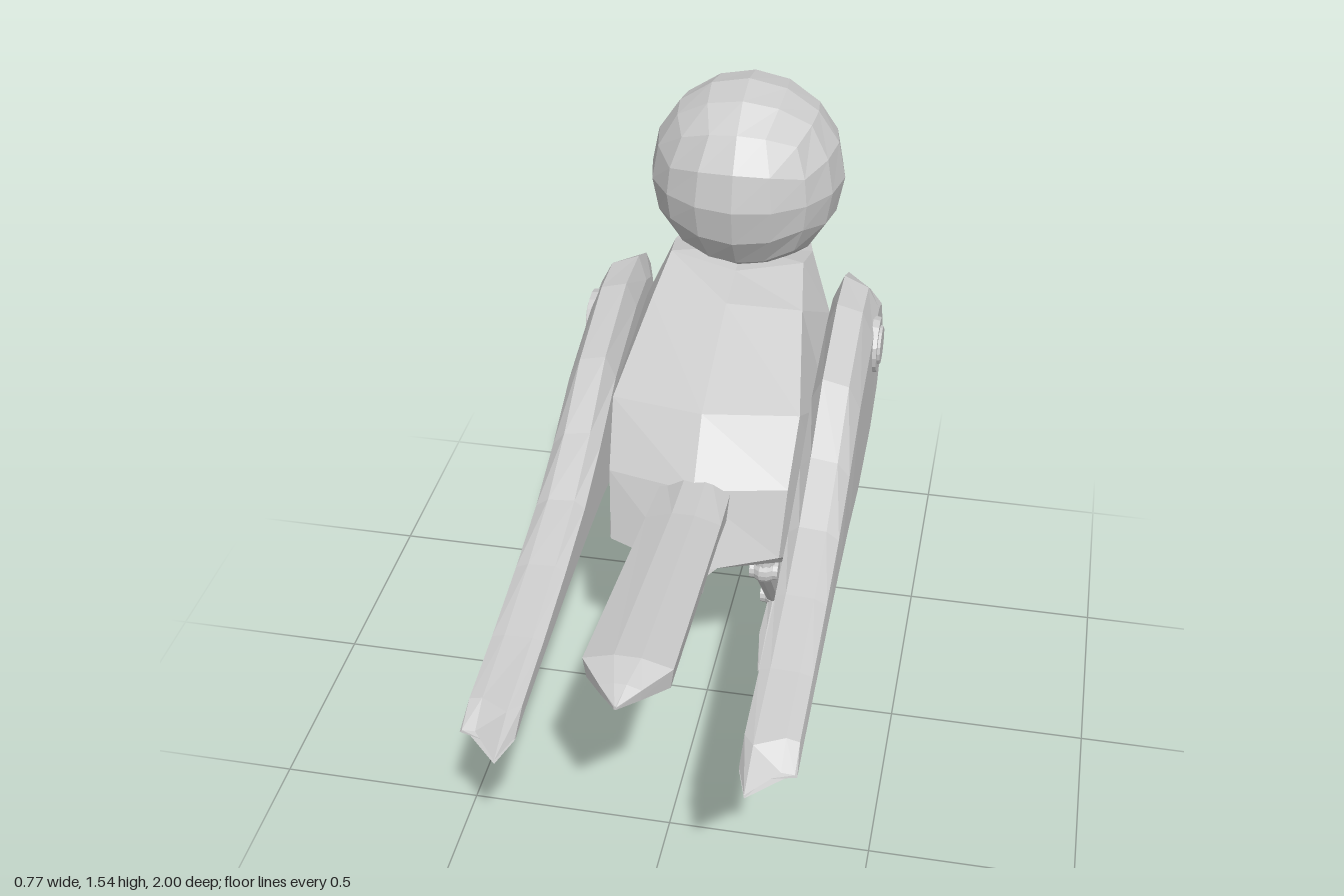
import * as THREE from 'three';

const material = new THREE.MeshStandardMaterial({ color: 0xcccccc, flatShading: true });
const V = (x, y, z) => new THREE.Vector3(x, y, z);

function add(parent, name, geometry) {
  const mesh = new THREE.Mesh(geometry, material);
  mesh.name = name;
  parent.add(mesh);
  return mesh;
}

// Skin a list of equal-length rings and close both ends; faces always point outwards
function loft(rings) {
  const n = rings[0].length, tris = [];
  for (let i = 0; i < rings.length - 1; i++) {
    for (let j = 0; j < n; j++) {
      const k = (j + 1) % n, a = rings[i], b = rings[i + 1];
      tris.push([a[j], a[k], b[k]], [a[j], b[k], b[j]]);
    }
  }
  const cap = (ring, flip) => {
    const c = ring.reduce((s, p) => s.add(p), V(0, 0, 0)).divideScalar(n);
    ring.forEach((p, j) => {
      const q = ring[(j + 1) % n];
      tris.push(flip ? [c, q, p] : [c, p, q]);
    });
  };
  cap(rings[0], true);
  cap(rings[rings.length - 1], false);
  const volume = tris.reduce((s, [a, b, c]) => s + a.dot(b.clone().cross(c)), 0);
  const points = tris.flatMap(([a, b, c]) => (volume < 0 ? [a, c, b] : [a, b, c]));
  const g = new THREE.BufferGeometry().setFromPoints(points);
  g.computeVertexNormals();
  return g;
}

// Tapered rod between two points
function rod(parent, name, a, b, ra, rb, sides = 10) {
  const mesh = add(parent, name, new THREE.CylinderGeometry(rb, ra, a.distanceTo(b), sides));
  mesh.position.copy(a).lerp(b, 0.5);
  mesh.quaternion.setFromUnitVectors(V(0, 1, 0), b.clone().sub(a).normalize());
}

// Half rings from back centre to breast centre, neck to rump, mirrored in x
function body(group) {
  const halves = [
    [[0, 1.09, -0.38], [0.17, 1.12, -0.4], [0.18, 1.1, -0.5], [0.16, 1.09, -0.59], [0, 1.07, -0.61]],
    [[0, 1.07, -0.25], [0.19, 1.065, -0.26], [0.24, 0.97, -0.42], [0.2, 0.87, -0.61], [0, 0.87, -0.65]],
    [[0, 0.95, 0.07], [0.23, 0.94, 0.02], [0.265, 0.8, -0.25], [0.215, 0.6, -0.51], [0, 0.59, -0.58]],
    [[0, 0.8, 0.18], [0.22, 0.79, 0.12], [0.28, 0.62, -0.14], [0.19, 0.43, -0.28], [0, 0.37, -0.315]],
    [[0, 0.605, 0.25], [0.21, 0.62, 0.17], [0.24, 0.55, 0.06], [0.23, 0.475, -0.01], [0, 0.42, 0]],
  ];
  const rings = halves.map((h) => [
    ...h.map((p) => V(...p)),
    ...h.slice(1, 4).reverse().map(([x, y, z]) => V(-x, y, z)),
  ]);
  add(group, 'body', loft(rings));
}

// Cube sphere head with round eyes and a two-part beak
function head(group) {
  const centre = V(0, 1.29, -0.555), radius = 0.249;
  const ball = new THREE.BoxGeometry(2, 2, 2, 4, 4, 4), pos = ball.attributes.position;
  for (let i = 0; i < pos.count; i++) {
    const p = V(0, 0, 0).fromBufferAttribute(pos, i);
    p.set(...p.toArray().map((c) => Math.tan(c * Math.PI / 4))).setLength(radius);
    pos.setXYZ(i, p.x, p.y, p.z);
  }
  ball.computeVertexNormals();
  add(group, 'head', ball).position.copy(centre);

  for (const s of [1, -1]) {
    const dir = V(s * 0.09, 0.09, -0.21).normalize();
    const eye = new THREE.Group();
    eye.name = s > 0 ? 'leftEye' : 'rightEye';
    eye.position.copy(centre).addScaledVector(dir, radius - 0.01);
    eye.quaternion.setFromUnitVectors(V(0, 0, 1), dir);
    add(eye, 'eyeRim', new THREE.TorusGeometry(0.043, 0.007, 6, 16));
    add(eye, 'eyeball', new THREE.SphereGeometry(0.04, 16, 8)).scale.z = 0.35;
    group.add(eye);
  }

  // stations: z, top, bottom, half width
  const beak = (name, stations) => add(group, name, loft(stations.map(([z, t, b, w]) => [
    V(-w, b, z), V(-w, (t + b) / 2, z), V(-w * 0.7, t - (t - b) * 0.1, z), V(0, t, z),
    V(w * 0.7, t - (t - b) * 0.1, z), V(w, (t + b) / 2, z), V(w, b, z),
  ])));
  beak('upperBeak', [[-0.74, 1.285, 1.215, 0.032], [-0.83, 1.287, 1.218, 0.037],
    [-0.91, 1.283, 1.222, 0.034], [-0.96, 1.264, 1.226, 0.02], [-1, 1.24, 1.232, 0.004]]);
  beak('lowerBeak', [[-0.74, 1.19, 1.213, 0.028], [-0.83, 1.19, 1.215, 0.031],
    [-0.92, 1.203, 1.22, 0.024], [-0.975, 1.222, 1.229, 0.005]]);
}

// Tall ridge at x 0.27 with an outer and an inner bevel; stations: z, bottom, top
function wing(group, s) {
  const stations = [
    [-0.6, 0.85, 0.96], [-0.55, 0.78, 1.02], [-0.46, 0.69, 1.06], [-0.315, 0.63, 1.06],
    [-0.075, 0.61, 0.99], [0.1, 0.65, 0.88], [0.27, 0.665, 0.8], [0.46, 0.665, 0.75],
    [0.67, 0.655, 0.71], [0.89, 0.64, 0.685], [1, 0.635, 0.645],
  ];
  const rings = stations.map(([z, b, t]) => {
    const h = t - b;
    const inset = z < -0.4 ? (-0.4 - z) * 0.4 : z > 0.8 ? (0.8 - z) * 0.4 : 0;
    const zo = z + inset;
    return [
      V(s * 0.27, b + h * 0.06, z), V(s * 0.245, b + h * 0.18, zo),
      V(s * 0.245, t - h * 0.15, zo), V(s * 0.27, t, z), V(s * 0.335, t - h * 0.04, zo),
      V(s * 0.365, t - h * 0.2, zo), V(s * 0.37, b + h * 0.16, zo), V(s * 0.35, b, zo),
    ];
  });
  const side = s > 0 ? 'left' : 'right';
  add(group, side + 'Wing', loft(rings));
  const y = 0.92, z = -0.37;
  rod(group, side + 'ShoulderRim', V(s * 0.35, y, z), V(s * 0.376, y, z), 0.075, 0.071, 16);
  rod(group, side + 'ShoulderCap', V(s * 0.36, y, z), V(s * 0.383, y, z), 0.058, 0.048, 16);
}

// Long tail feather; stations: z, centre top, centre bottom, half width
function tail(group) {
  const stations = [[0.1, 0.815, 0.69, 0.085], [0.3, 0.82, 0.74, 0.09],
    [0.88, 0.88, 0.8, 0.098], [0.95, 0.865, 0.822, 0.045], [1, 0.848, 0.838, 0.003]];
  add(group, 'tail', loft(stations.map(([z, t, b, w]) => {
    const h = t - b;
    return [V(-w * 0.3, t, z), V(w * 0.3, t, z), V(w, t - h * 0.25, z), V(w * 0.93, b + h * 0.1, z),
      V(0, b, z), V(-w * 0.93, b + h * 0.1, z), V(-w, t - h * 0.25, z)];
  })));
}

// Jointed leg with three front toes and one back toe
function leg(group, s) {
  const g = new THREE.Group();
  g.name = s > 0 ? 'leftLeg' : 'rightLeg';
  group.add(g);
  const x = s * 0.122;
  const hip = V(x, 0.44, -0.19), knee = V(x, 0.3, -0.178), ankle = V(x, 0.055, -0.375);
  rod(g, 'hipCollar', V(x, 0.405, -0.187), hip, 0.034, 0.047, 12);
  rod(g, 'thigh', knee, hip, 0.029, 0.03);
  rod(g, 'shin', knee, ankle, 0.032, 0.027);
  for (const [name, p, r] of [['knee', knee, 0.037], ['ankle', ankle, 0.036]]) {
    add(g, name, new THREE.SphereGeometry(r, 10, 8)).position.copy(p);
    rod(g, name + 'Pin', V(x - 0.038, p.y, p.z), V(x + 0.038, p.y, p.z), 0.026, 0.026, 12);
  }
  for (const [dx, dz] of [[-0.07, -0.25], [0, -0.275], [0.07, -0.25], [0, 0.275]]) {
    const len = Math.hypot(dx, dz);
    const at = (t, y, w, h) => {
      const px = (-dz / len) * w, pz = (dx / len) * w;
      const cx = x + dx * t, cz = ankle.z + dz * t;
      return [V(cx + px, y, cz + pz), V(cx, y + h, cz), V(cx - px, y, cz - pz), V(cx, y - h, cz)];
    };
    add(g, dz > 0 ? 'backToe' : 'frontToe', loft([
      at(0.05, 0.05, 0.015, 0.014), at(0.5, 0.022, 0.02, 0.012), at(1, 0.006, 0.002, 0.003),
    ]));
  }
}

export function createModel() {
  const group = new THREE.Group();
  group.name = 'bird';
  body(group);
  head(group);
  tail(group);
  for (const s of [1, -1]) {
    wing(group, s);
    leg(group, s);
  }
  return group;
}
